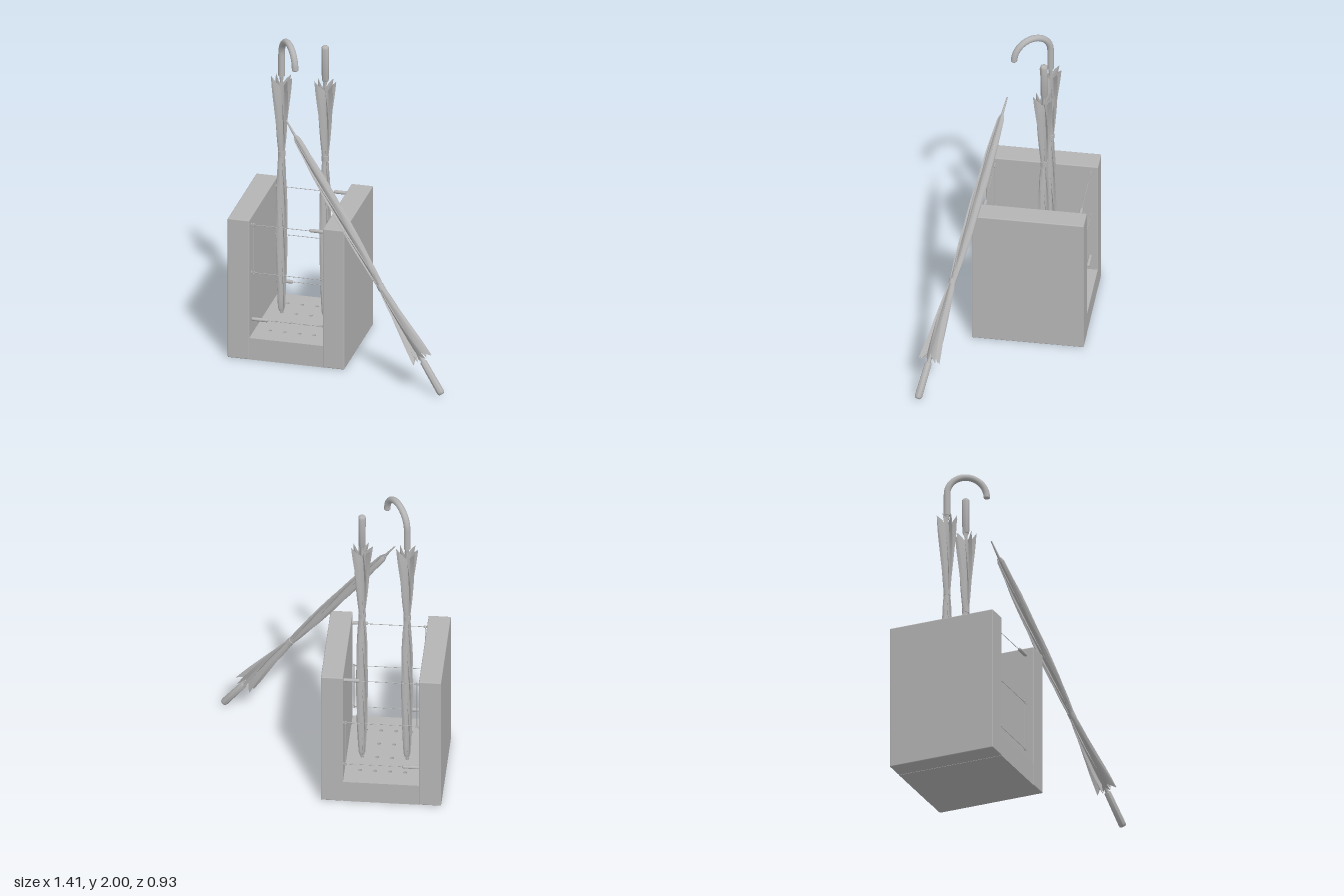
import * as THREE from 'three';
import { toCreasedNormals } from 'three/addons/utils/BufferGeometryUtils.js';
import { RoundedBoxGeometry } from 'three/addons/geometries/RoundedBoxGeometry.js';

const V = (x, y, z) => new THREE.Vector3(x, y, z);
const grey = new THREE.MeshStandardMaterial({ color: 0xb4b4b4, side: THREE.DoubleSide });
grey.name = 'plain grey';

function add(parent, name, geometry, x = 0, y = 0, z = 0) {
  const mesh = new THREE.Mesh(geometry, grey);
  mesh.name = name;
  mesh.position.set(x, y, z);
  parent.add(mesh);
  return mesh;
}

// Furled canopy: a twisted eight-bladed pinwheel lofted along y
function canopyGeometry() {
  const profile = [ // height, ridge radius, valley ratio
    [0.155, 0.014, 0.7], [0.18, 0.022, 0.7], [0.4, 0.033, 0.65], [0.7, 0.037, 0.62],
    [0.95, 0.034, 0.65], [1.1, 0.027, 0.7], [1.18, 0.021, 0.8], [1.22, 0.021, 0.8],
    [1.3, 0.029, 0.65], [1.5, 0.046, 0.5], [1.7, 0.067, 0.38]];
  const folds = 8, step = Math.PI * 2 / folds, sides = folds * 3;
  const rows = [];
  profile.forEach((p, i) => {
    rows.push(p);
    const q = profile[i + 1];
    if (q) for (const t of [1 / 3, 2 / 3]) rows.push(p.map((v, j) => v + (q[j] - v) * t));
  });
  const pos = [], index = [];
  rows.forEach(([y, r, ratio], i) => {
    const last = i === rows.length - 1;
    for (let k = 0; k < folds; k++) {
      [[0, ratio, -0.045], [0.55, (1 + ratio) / 2, -0.02], [1, 1, 0.008]].forEach(([a, s, drop]) => {
        const angle = (k + a) * step + y * 2.2;
        pos.push(Math.cos(angle) * r * s, y + (last ? drop : 0), Math.sin(angle) * r * s);
      });
    }
    if (i) for (let j = 0; j < sides; j++) {
      const a = (i - 1) * sides + j, b = (i - 1) * sides + (j + 1) % sides;
      index.push(a, a + sides, b, b, a + sides, b + sides);
    }
  });
  const g = new THREE.BufferGeometry();
  g.setAttribute('position', new THREE.Float32BufferAttribute(pos, 3));
  g.setIndex(index);
  return toCreasedNormals(g, 0.7);
}

function createUmbrella(name, hooked) {
  const u = new THREE.Group();
  u.name = name;
  add(u, 'canopy', canopyGeometry());
  add(u, 'tieBand', new THREE.CylinderGeometry(0.0225, 0.0225, 0.035, 20), 0, 1.2, 0);
  add(u, 'pole', new THREE.CylinderGeometry(0.009, 0.009, 1.57, 12), 0, 0.935, 0);
  add(u, 'spike', new THREE.CylinderGeometry(0.009, 0.004, 0.13, 12), 0, 0.105, 0);
  add(u, 'handleCollar', new THREE.CylinderGeometry(0.014, 0.011, 0.03, 16), 0, 1.705, 0);
  if (hooked) {
    // Crook handle: straight stem and half circle
    const R = 0.122, cy = 1.858;
    const path = new THREE.CurvePath();
    path.add(new THREE.LineCurve3(V(0, 1.715, 0), V(0, cy, 0)));
    const arc = [];
    for (let i = 0; i <= 16; i++) {
      const a = Math.PI * (1 - i / 16);
      arc.push(V(R + R * Math.cos(a), cy + R * Math.sin(a), 0));
    }
    path.add(new THREE.CatmullRomCurve3(arc));
    add(u, 'crookHandle', new THREE.TubeGeometry(path, 60, 0.02, 16));
    add(u, 'handleButt', new THREE.CircleGeometry(0.02, 16).rotateX(-Math.PI / 2), 0, 1.716, 0);
    add(u, 'crookEnd', new THREE.SphereGeometry(0.02, 16, 10).scale(1, 0.6, 1), 2 * R, cy, 0);
  } else {
    const p = [[0, 1.713], [0.018, 1.713], [0.021, 1.72], [0.023, 1.925], [0.021, 1.937], [0.014, 1.943], [0, 1.944]];
    add(u, 'straightHandle', toCreasedNormals(
      new THREE.LatheGeometry(p.map(([x, y]) => new THREE.Vector2(x, y)), 24), 0.8));
  }
  return u;
}

function createStand() {
  const stand = new THREE.Group();
  stand.name = 'stand';
  // Side walls
  for (const [name, x0, x1] of [['rightWall', -0.712, -0.577], ['leftWall', -0.117, 0.017]])
    add(stand, name, new RoundedBoxGeometry(x1 - x0, 0.92, 0.684, 2, 0.006), (x0 + x1) / 2, 0.46, -0.129);

  // Base with a grid of blind holes for the spikes
  const shape = new THREE.Shape([[-0.578, -0.211], [-0.116, -0.211], [-0.116, 0.469], [-0.578, 0.469]]
    .map(([x, y]) => new THREE.Vector2(x, y)));
  for (const x of [-0.482, -0.391, -0.3, -0.209])
    for (const z of [-0.34, -0.2, -0.063, 0.073])
      shape.holes.push(new THREE.Path().absarc(x, -z, 0.012, 0, Math.PI * 2, true));
  add(stand, 'drilledBase', new THREE.ExtrudeGeometry(shape, { depth: 0.104, bevelEnabled: false, curveSegments: 8 })
    .rotateX(-Math.PI / 2), 0, 0.038, 0);
  add(stand, 'baseFloor', new THREE.BoxGeometry(0.462, 0.038, 0.68), -0.347, 0.019, -0.129);

  // Zigzag cords with pegs and eyelets, near the front and back edges
  for (const z of [-0.425, 0.16]) {
    const cord = new THREE.Group();
    cord.name = z > 0 ? 'frontCord' : 'backCord';
    stand.add(cord);
    const pts = [[-0.21, 0.872], [-0.562, 0.872], [-0.562, 0.555], [-0.129, 0.555], [-0.129, 0.247], [-0.47, 0.247]];
    for (let i = 1; i < pts.length; i++) {
      const a = V(...pts[i - 1], z), b = V(...pts[i], z);
      add(cord, 'cord', new THREE.TubeGeometry(new THREE.LineCurve3(a, b), 1, 0.002, 6));
    }
    for (const [x, y] of [[-0.162, 0.875], [-0.524, 0.247]]) {
      const peg = add(cord, 'peg', new THREE.CapsuleGeometry(0.011, 0.086, 4, 14), x, y, z);
      peg.rotation.z = Math.PI / 2;
    }
    for (const [x, y] of pts.slice(1, 5)) {
      const wall = x < -0.3 ? -0.577 : -0.117;
      add(cord, 'eyelet', new THREE.TorusGeometry(0.008, 0.003, 6, 14), x, y, z);
      const stem = add(cord, 'eyeletPlate', new THREE.CylinderGeometry(0.011, 0.011, 0.008, 14), wall, y, z);
      stem.rotation.z = Math.PI / 2;
    }
  }
  return stand;
}

export function createModel() {
  const model = new THREE.Group();
  model.name = 'umbrellaStand';
  model.add(createStand());

  const crook = createUmbrella('crookUmbrella', true);
  crook.position.set(-0.482, 0, -0.195);
  crook.rotation.y = -Math.atan2(0.205, 0.14);
  model.add(crook);

  const straight = createUmbrella('straightUmbrella', false);
  straight.position.set(-0.209, 0, -0.195);
  model.add(straight);

  // Umbrella leaning upside down against the wall
  const leaning = createUmbrella('leaningUmbrella', false);
  const tip = V(-0.387, 1.54, 0.055);
  const dir = V(0.688, 0.014, 0.443).sub(tip).normalize();
  leaning.quaternion.setFromUnitVectors(V(0, 1, 0), dir);
  leaning.position.copy(tip).addScaledVector(dir, -0.04);
  model.add(leaning);
  return model;
}
